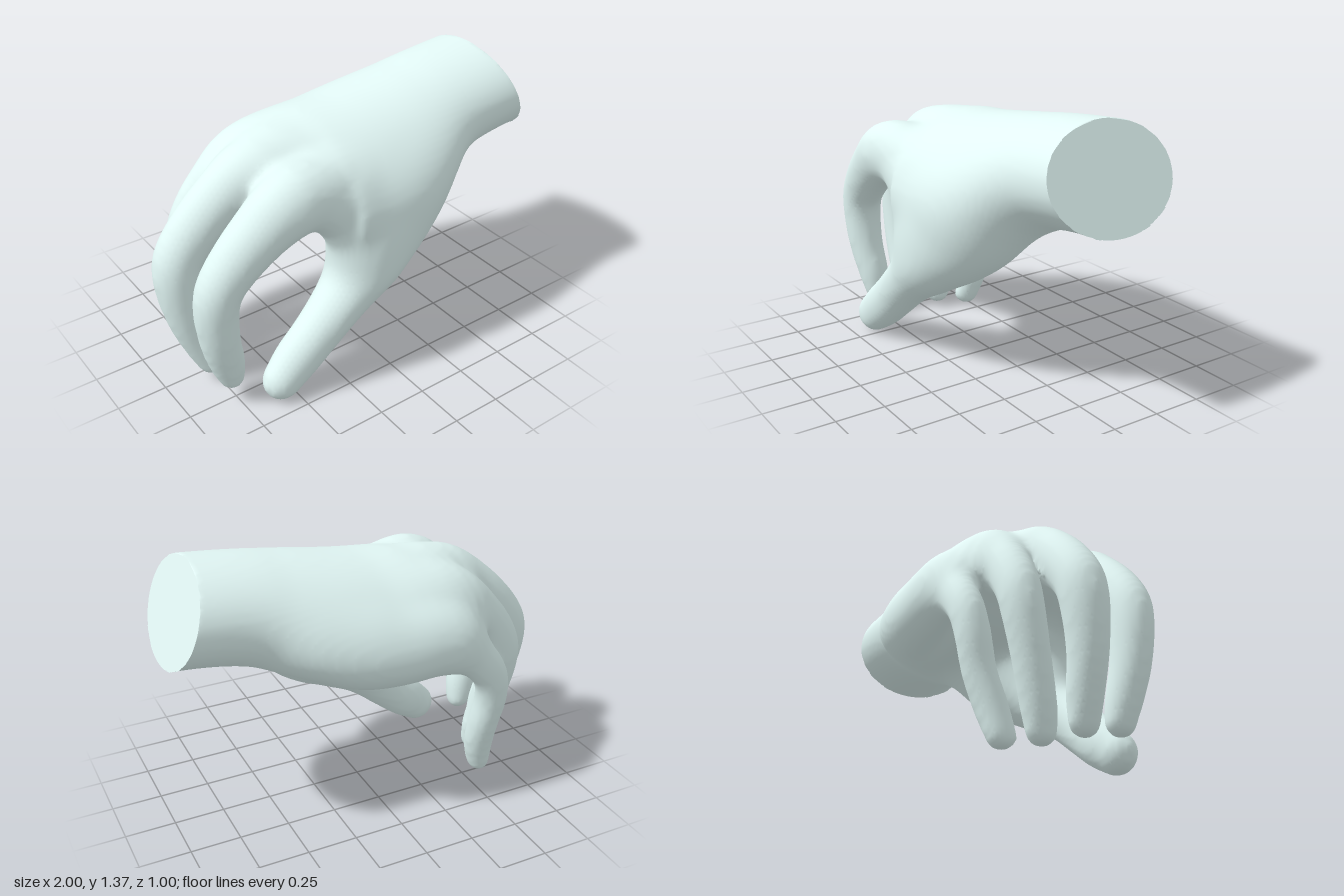
import * as THREE from 'three';

// Each part is a run of elliptical cross-sections:
// [x, y, z, half thickness, half width, droop of the two edges]
const CORE = {
  palm: [
    [1.25, 1.165, 0, 0.247, 0.337, 0],
    [0.88, 1.142, 0, 0.244, 0.337, 0],
    [0.6, 1.105, 0, 0.254, 0.35, 0.01],
    [0.4, 1.06, 0, 0.27, 0.415, 0.06],
    [0.2, 1.03, -0.01, 0.27, 0.46, 0.1],
    [0, 1.02, -0.01, 0.255, 0.475, 0.12],
    [-0.2, 1.03, -0.015, 0.23, 0.46, 0.13],
    [-0.33, 1.04, 0.01, 0.19, 0.42, 0.12],
    [-0.42, 1.03, 0.06, 0.14, 0.33, 0.08],
  ],
  thumbWeb: [
    [-0.03, 0.6, 0.32, 0.12, 0.11],
    [-0.07, 0.69, 0.325, 0.15, 0.135],
    [-0.1, 0.78, 0.325, 0.155, 0.135],
    [-0.19, 0.93, 0.31, 0.15, 0.13],
    [-0.24, 1.0, 0.29, 0.1, 0.1],
  ],
  heelOfPalm: [
    [0.3, 0.97, -0.24, 0.14, 0.13],
    [0.12, 0.91, -0.31, 0.175, 0.14],
    [-0.08, 0.88, -0.335, 0.165, 0.135],
    [-0.26, 0.86, -0.345, 0.14, 0.11],
  ],
};

const DIGITS = {
  thumb: [
    [0.43, 0.98, 0.12, 0.16, 0.17],
    [0.27, 0.84, 0.2, 0.235, 0.235],
    [0.1, 0.685, 0.27, 0.225, 0.215],
    [-0.04, 0.55, 0.32, 0.17, 0.175],
    [-0.2, 0.41, 0.345, 0.13, 0.137],
    [-0.35, 0.277, 0.355, 0.121, 0.113],
    [-0.47, 0.178, 0.36, 0.118, 0.105],
    [-0.56, 0.106, 0.372, 0.104, 0.09],
  ],
  indexFinger: [
    [-0.12, 0.99, 0.25, 0.13, 0.13],
    [-0.42, 1.02, 0.298, 0.163, 0.152],
    [-0.62, 0.915, 0.302, 0.138, 0.13],
    [-0.79, 0.75, 0.295, 0.118, 0.11],
    [-0.84, 0.62, 0.29, 0.108, 0.102],
    [-0.83, 0.42, 0.28, 0.097, 0.092],
    [-0.79, 0.25, 0.26, 0.087, 0.082],
    [-0.77, 0.155, 0.25, 0.067, 0.072],
  ],
  middleFinger: [
    [-0.15, 1.05, 0.03, 0.12, 0.13],
    [-0.45, 1.08, 0.03, 0.14, 0.145],
    [-0.66, 0.965, 0.02, 0.13, 0.128],
    [-0.84, 0.78, 0.01, 0.121, 0.115],
    [-0.89, 0.64, 0.015, 0.112, 0.11],
    [-0.87, 0.42, 0.035, 0.097, 0.092],
    [-0.81, 0.23, 0.05, 0.087, 0.082],
    [-0.78, 0.112, 0.06, 0.062, 0.072],
  ],
  ringFinger: [
    [-0.12, 1.02, -0.17, 0.12, 0.12],
    [-0.4, 1.03, -0.18, 0.14, 0.122],
    [-0.58, 0.905, -0.195, 0.122, 0.107],
    [-0.69, 0.75, -0.2, 0.112, 0.1],
    [-0.72, 0.62, -0.19, 0.102, 0.097],
    [-0.71, 0.42, -0.15, 0.092, 0.087],
    [-0.68, 0.2, -0.1, 0.082, 0.081],
    [-0.665, 0.087, -0.08, 0.062, 0.072],
  ],
  littleFinger: [
    [-0.05, 0.93, -0.31, 0.11, 0.11],
    [-0.27, 0.92, -0.36, 0.125, 0.097],
    [-0.44, 0.79, -0.378, 0.107, 0.085],
    [-0.545, 0.66, -0.377, 0.092, 0.082],
    [-0.575, 0.52, -0.357, 0.082, 0.082],
    [-0.565, 0.36, -0.322, 0.077, 0.079],
    [-0.575, 0.2, -0.27, 0.074, 0.079],
    [-0.6, 0.062, -0.235, 0.057, 0.072],
  ],
};

// Signed distance to the smooth tube through a part's cross-sections
function tubeDistance(rows) {
  const curve = (from) => new THREE.CatmullRomCurve3(
    rows.map((r) => new THREE.Vector3(r[from], r[from + 1], r[from + 2] || 0)), false, 'catmullrom', 0.5);
  const path = curve(0), sizes = curve(3);
  const count = (rows.length - 1) * 4;
  const rings = Array.from({ length: count + 1 }, (_, i) => {
    const along = path.getTangent(i / count);
    const side = new THREE.Vector3(0, 0, 1).addScaledVector(along, -along.z).normalize();
    const up = new THREE.Vector3().crossVectors(along, side);
    return { center: path.getPoint(i / count), size: sizes.getPoint(i / count), along, side, up };
  });
  const steps = rings.slice(1).map((r, i) => r.center.clone().sub(rings[i].center));
  const lengths = steps.map((s) => s.lengthSq());
  const q = new THREE.Vector3(), size = new THREE.Vector3(), axis = new THREE.Vector3();

  return (p) => {
    let best = Infinity, at = 0, t = 0;
    for (let i = 0; i < count; i++) {
      const c = rings[i].center, s = steps[i];
      const x = p.x - c.x, y = p.y - c.y, z = p.z - c.z;
      const f = Math.min(1, Math.max(0, (x * s.x + y * s.y + z * s.z) / lengths[i]));
      const d = (x - f * s.x) ** 2 + (y - f * s.y) ** 2 + (z - f * s.z) ** 2;
      if (d < best) { best = d; at = i; t = f; }
    }
    const a = rings[at], b = rings[at + 1];
    q.copy(p).sub(a.center).addScaledVector(steps[at], -t);
    size.lerpVectors(a.size, b.size, t);
    const u = q.dot(axis.lerpVectors(a.side, b.side, t)) / size.y;
    const v = (q.dot(axis.lerpVectors(a.up, b.up, t)) + size.z * Math.min(u * u, 1.5)) / size.x;
    const w = q.dot(axis.lerpVectors(a.along, b.along, t)) / size.x;
    const e = Math.hypot(u, v, w);
    return e * (e - 1) / (Math.hypot(u / size.y, v / size.x, w / size.x) + 1e-6);
  };
}

// Union of two distances with a soft fillet
const blend = (a, b, k) => Math.min(a, b) - Math.max(k - Math.abs(a - b), 0) ** 2 / (4 * k);

const coreTubes = Object.values(CORE).map(tubeDistance);
const digitTubes = Object.entries(DIGITS).map(([name, rows]) =>
  ({ name, distance: tubeDistance(rows), fillet: name === 'thumb' ? 0.14 : 0.09 }));

// Every digit melts into the palm, but not into its neighbours
function sampleHand(p) {
  const core = coreTubes.map((f) => f(p)).reduce((a, b) => blend(a, b, 0.1));
  let distance = core, nearest = core, part = 'palmAndWrist';
  for (const digit of digitTubes) {
    const d = digit.distance(p);
    distance = Math.min(distance, blend(core, d, digit.fillet));
    if (d < nearest) { nearest = d; part = digit.name; }
  }
  return { distance, part };
}

export function createModel() {
  const skin = new THREE.MeshStandardMaterial({ color: 0xe2f7f5 });
  const hand = new THREE.Group();
  hand.name = 'hand';

  // Sample the shape on a grid
  const cell = 0.02, min = new THREE.Vector3(-1.06, -0.06, -0.57);
  const n = [109, 77, 58], stride = [1, n[0], n[0] * n[1]];
  const point = (i, j, k) => new THREE.Vector3(i, j, k).multiplyScalar(cell).add(min);
  const values = new Float32Array(n[0] * n[1] * n[2]).fill(1);
  const eachCell = (first, visit) => {
    for (let k = first; k < n[2] - 1; k++) for (let j = first; j < n[1] - 1; j++)
      for (let i = first; i < n[0] - 1; i++) visit(i, j, k, i + j * stride[1] + k * stride[2]);
  };
  eachCell(0, (i, j, k, id) => { values[id] = sampleHand(point(i, j, k)).distance; });

  // One skin vertex in each cell the surface crosses
  const vertexOf = new Map(), vertices = [], parts = [];
  eachCell(0, (i, j, k, id) => {
    const p = new THREE.Vector3();
    let hits = 0;
    for (let c = 0; c < 8; c++) for (let d = 0; d < 3; d++) {
      if (c >> d & 1) continue;
      const o = [c & 1, c >> 1 & 1, c >> 2];
      const from = id + o[0] + o[1] * stride[1] + o[2] * stride[2];
      const a = values[from], b = values[from + stride[d]];
      if (a < 0 === b < 0) continue;
      o[d] = a / (a - b);
      p.add(point(i + o[0], j + o[1], k + o[2]));
      hits++;
    }
    if (!hits) return;
    p.divideScalar(hits);
    vertexOf.set(id, vertices.length);
    vertices.push(p);
    parts.push(sampleHand(p).part);
  });

  // Join the vertices around each crossed grid edge
  const quads = [];
  eachCell(1, (i, j, k, id) => {
    for (let d = 0; d < 3; d++) {
      const inside = values[id] < 0;
      if (inside === values[id + stride[d]] < 0) continue;
      const e = stride[(d + 1) % 3], f = stride[(d + 2) % 3];
      const quad = [id, id - e, id - e - f, id - f].map((c) => vertexOf.get(c));
      quads.push(inside ? quad : quad.reverse());
    }
  });

  // Relax the skin
  for (let pass = 0; pass < 5; pass++) {
    const sums = vertices.map(() => new THREE.Vector3()), counts = vertices.map(() => 0);
    for (const quad of quads) quad.forEach((v, s) => {
      for (const other of [quad[(s + 1) % 4], quad[(s + 3) % 4]]) {
        sums[v].add(vertices[other]);
        counts[v]++;
      }
    });
    vertices.forEach((p, v) => { if (counts[v]) p.lerp(sums[v].divideScalar(counts[v]), 0.5); });
  }

  // Cut the wrist with a slanted plane
  const cutCenter = new THREE.Vector3(0.915, 1.1425, 0);
  const cutNormal = new THREE.Vector3(0.942, 0.337, 0).normalize();
  const onCut = vertices.map((p) => {
    const beyond = p.clone().sub(cutCenter).dot(cutNormal);
    if (beyond > 0) p.addScaledVector(cutNormal, -beyond);
    return beyond > 0;
  });

  // Sort the triangles by part and close the wrist along its rim
  const faces = {}, skinIndex = [], cut = [];
  for (const [a, b, c, d] of quads) for (const tri of [[a, b, c], [a, c, d]]) {
    if (tri.every((v) => onCut[v])) continue;
    (faces[parts[a]] ||= []).push(...tri);
    skinIndex.push(...tri);
    tri.forEach((v, s) => {
      const next = tri[(s + 1) % 3];
      if (onCut[v] && onCut[next]) cut.push(vertices[next], vertices[v], cutCenter);
    });
  }

  const addMesh = (name, geometry) => {
    const mesh = new THREE.Mesh(geometry, skin);
    mesh.name = name;
    hand.add(mesh);
  };
  const whole = new THREE.BufferGeometry().setFromPoints(vertices).setIndex(skinIndex);
  whole.computeVertexNormals();
  for (const [name, index] of Object.entries(faces)) {
    addMesh(name, new THREE.BufferGeometry().setAttribute('position', whole.attributes.position)
      .setAttribute('normal', whole.attributes.normal).setIndex(index));
  }
  const end = new THREE.BufferGeometry().setFromPoints(cut);
  end.computeVertexNormals();
  addMesh('wristEnd', end);
  return hand;
}
